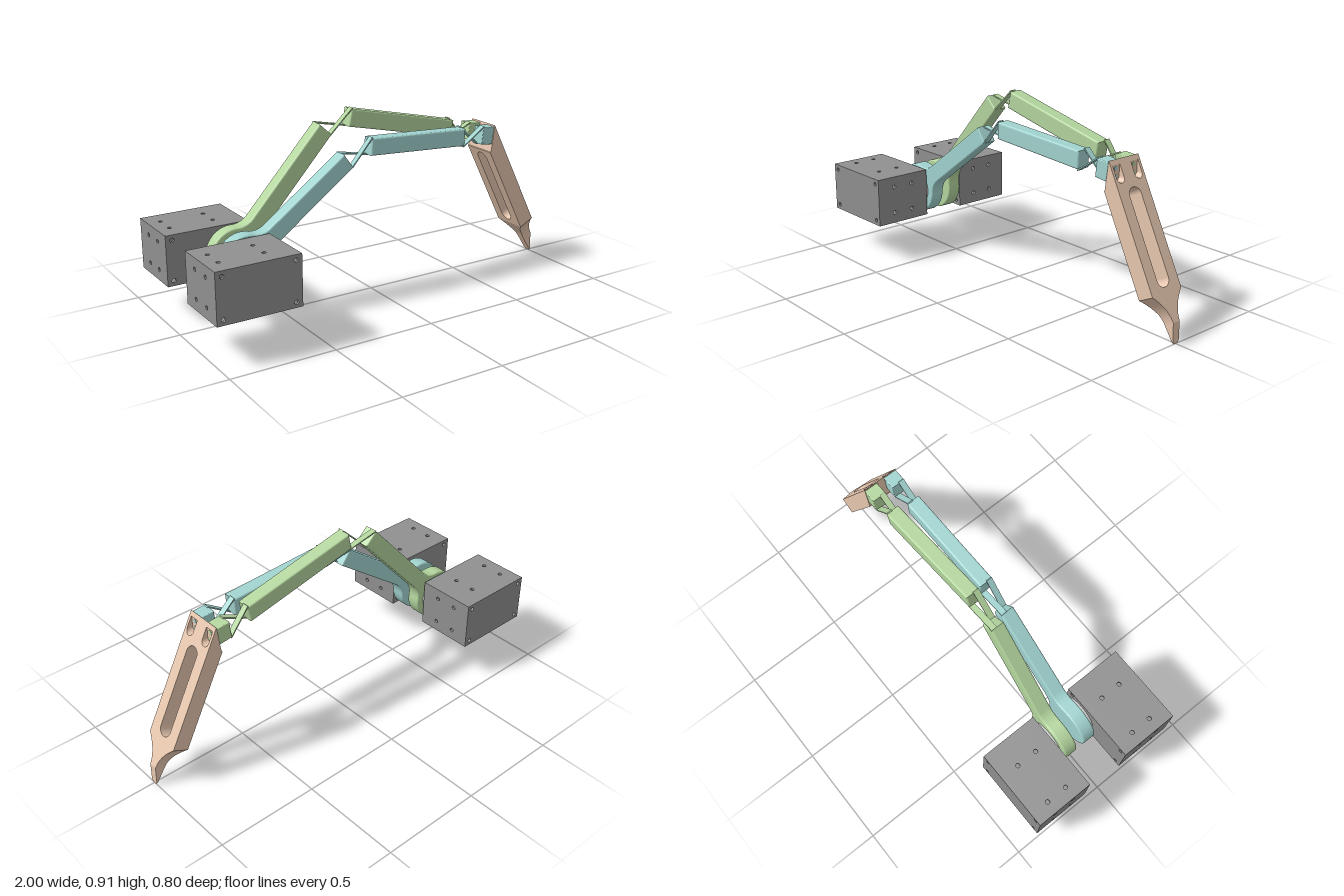
import * as THREE from 'three';

const paint = (color, extra = {}) => new THREE.MeshStandardMaterial({ color, ...extra });
const GREEN = paint(0xb4d69f);
const TEAL = paint(0xa2d4d0);
const ORANGE = paint(0xe8c8b0, { flatShading: true });
const DARK = paint(0x909090);
const GREY = paint(0xcccccc);
const HUB = [-0.7, 0.308];

function add(parent, name, geometry, material, x = 0, y = 0, z = 0) {
  const mesh = new THREE.Mesh(geometry, material);
  mesh.name = name;
  mesh.position.set(x, y, z);
  parent.add(mesh);
  return mesh;
}

const polygon = (points) => new THREE.Shape(points.map(([x, y]) => new THREE.Vector2(x, y)));

// Solid of constant width, centred on z, with rounded long edges
function slab(shape, width, bevel = 0.008) {
  return new THREE.ExtrudeGeometry(shape, {
    depth: width - 2 * bevel, bevelSize: bevel, bevelThickness: bevel,
    bevelOffset: -bevel, bevelSegments: 3, curveSegments: 24,
  }).translate(0, 0, bevel - width / 2);
}

// Round hub blending into a straight bar along +x
function upperLinkShape(length) {
  const R = 0.125, w = 0.0425, r = 0.1;
  const cx = Math.sqrt((R + r) ** 2 - (w + r) ** 2);
  const a = Math.atan2(w + r, cx);
  const s = new THREE.Shape();
  s.moveTo(length, -w);
  s.lineTo(length, w);
  s.lineTo(cx, w);
  s.absarc(cx, w + r, r, -Math.PI / 2, -Math.PI + a, true);
  s.absarc(0, 0, R, a, 2 * Math.PI - a, false);
  s.absarc(cx, -w - r, r, Math.PI - a, Math.PI / 2, true);
  s.closePath();
  return s;
}

// Thin flexure strip from p to q
function strip(parent, p, q, z, material) {
  const dx = q[0] - p[0], dy = q[1] - p[1];
  const m = add(parent, 'flexureStrip', new THREE.BoxGeometry(Math.hypot(dx, dy) + 0.012, 0.006, 0.03),
    material, (p[0] + q[0]) / 2, (p[1] + q[1]) / 2, z);
  m.rotation.z = Math.atan2(dy, dx);
}

// One arm: upper link, middle link, wrist block and crossed flexures
function arm(name, material, z, length, angle, upperEnd, middle) {
  const g = new THREE.Group();
  g.name = name;
  const upper = add(g, 'upperLink', slab(upperLinkShape(length), 0.07), material, ...HUB, z);
  upper.rotation.z = angle;
  add(g, 'middleLink', slab(polygon(middle), 0.07), material, 0, 0, z);
  const wrist = [[0.59, 0.658], [0.655, 0.65], [0.668, 0.737], [0.6, 0.742]];
  add(g, 'wristBlock', slab(polygon(wrist), 0.07, 0.004), material, 0, 0, z);
  const [ml, mr, mtr, mtl] = middle;
  strip(g, upperEnd[0], mtl, z + 0.018, material);
  strip(g, upperEnd[1], ml, z - 0.018, material);
  strip(g, mr, wrist[3], z + 0.018, material);
  strip(g, mtr, wrist[0], z - 0.018, material);
  return g;
}

// Motor housing: six plates with screw holes, and a drive shaft
function motor(side) {
  const g = new THREE.Group();
  g.name = side > 0 ? 'leftMotor' : 'rightMotor';
  const W = 0.4, H = 0.24, D = 0.293, t = 0.012;
  const plate = (w, h, xs, ys) => {
    const s = polygon([[-w / 2, -h / 2], [w / 2, -h / 2], [w / 2, h / 2], [-w / 2, h / 2]]);
    for (const x of xs) for (const y of ys) {
      s.holes.push(new THREE.Path().absarc(x, y, 0.01, 0, 2 * Math.PI, true));
    }
    return new THREE.ExtrudeGeometry(s, { depth: t, bevelEnabled: false, curveSegments: 10 });
  };
  const front = plate(W, H, [-0.17, 0.17], [-0.095, 0.095]);
  const top = plate(W, D, [-0.14, 0.07], [-0.0525, 0.0525]).rotateX(Math.PI / 2);
  const end = plate(D, H, [-0.0525, 0.0525], [-0.0675, 0.0675]).rotateY(Math.PI / 2);
  add(g, 'housingFront', front, DARK, 0, 0, D / 2 - t);
  add(g, 'housingBack', front, DARK, 0, 0, -D / 2);
  add(g, 'housingTop', top, DARK, 0, H / 2, 0);
  add(g, 'housingBottom', top, DARK, 0, -H / 2 + t, 0);
  add(g, 'housingRightEnd', end, DARK, W / 2 - t, 0, 0);
  add(g, 'housingLeftEnd', end, DARK, -W / 2, 0, 0);
  g.position.set(-0.8, 0.309, side * 0.2535);
  const shaft = new THREE.CylinderGeometry(0.088, 0.088, 0.03, 48).rotateX(Math.PI / 2);
  add(g, 'driveShaft', shaft, GREY, 0.1, 0, -side * 0.1565);
  return g;
}

// Finger head: mitred top with two recessed screw pockets
function fingerHead() {
  const yTop = 0.745, yLow = 0.646;
  const s = polygon([[-0.09, yLow], [0.09, yLow], [0.09, yTop], [-0.09, yTop]]);
  for (const z of [-0.055, 0.055]) {
    const p = new THREE.Path();
    p.moveTo(z - 0.022, 0.724);
    p.lineTo(z - 0.022, 0.674);
    p.absarc(z, 0.674, 0.022, Math.PI, 2 * Math.PI, false);
    p.lineTo(z + 0.022, 0.724);
    p.closePath();
    s.holes.push(p);
  }
  const geo = new THREE.ExtrudeGeometry(s, { depth: 1, bevelEnabled: false }).rotateY(Math.PI / 2);
  const pos = geo.attributes.position;
  for (let i = 0; i < pos.count; i++) {
    let y = pos.getY(i);
    if (pos.getX(i) > 0.5) {
      pos.setX(i, 0.67 + (yTop - y) * 0.509);
    } else {
      if (y < yLow + 0.001) y = 0.608;
      pos.setXY(i, 0.65 + (y - 0.608) * 0.146, y);
    }
  }
  geo.computeVertexNormals();
  return geo;
}

// Finger shaft: flat bar with a long round-ended slot
function fingerBar() {
  const s = polygon([[0.111, -0.09], [0.596, -0.09], [0.596, 0.09], [0.111, 0.09]]);
  const slot = new THREE.Path();
  slot.absarc(0.537, 0, 0.035, -Math.PI / 2, Math.PI / 2, false);
  slot.absarc(0.167, 0, 0.035, Math.PI / 2, Math.PI * 1.5, false);
  slot.closePath();
  s.holes.push(slot);
  return new THREE.ExtrudeGeometry(s, { depth: 0.083, bevelEnabled: false, curveSegments: 20 })
    .rotateX(Math.PI / 2);
}

// Fingertip: rectangular sections narrowing along a concave curve to an edge
function fingerTip() {
  const curve = new THREE.QuadraticBezierCurve(
    new THREE.Vector2(0.596, 0.09), new THREE.Vector2(0.66, 0.022), new THREE.Vector2(0.725, 0.02));
  const rows = curve.getPoints(14).map((p) => [p.x, p.y]);
  rows.push([0.8, 0.019], [0.814, 0.014]);
  const verts = [], index = [];
  rows.forEach(([u, w], i) => {
    const hi = u > 0.725 ? -0.044 * (u - 0.725) / 0.089 : 0;
    const lo = u < 0.684 ? -0.083 + 0.026 * (u - 0.596) / 0.088 : -0.057 + 0.013 * (u - 0.684) / 0.13;
    verts.push(u, hi, w, u, hi, -w, u, lo, -w, u, lo, w);
    if (i === 0) return;
    for (let k = 0; k < 4; k++) {
      const a = (i - 1) * 4 + k, b = (i - 1) * 4 + (k + 1) % 4;
      index.push(a, a + 4, b, b, a + 4, b + 4);
    }
  });
  const geo = new THREE.BufferGeometry();
  geo.setAttribute('position', new THREE.Float32BufferAttribute(verts, 3));
  geo.setIndex(index);
  geo.computeVertexNormals();
  return geo;
}

export function createModel() {
  const model = new THREE.Group();
  model.name = 'twoMotorFlexureFinger';

  model.add(motor(1), motor(-1));

  // Each middle link runs lower left, lower right, upper right, upper left
  model.add(arm('leftArm', TEAL, 0.055, 0.649, 0.629,
    [[-0.152, 0.66], [-0.196, 0.72]],
    [[-0.055, 0.695], [0.485, 0.665], [0.49, 0.75], [-0.05, 0.777]]));
  model.add(arm('rightArm', GREEN, -0.055, 0.696, 0.83,
    [[-0.2, 0.797], [-0.256, 0.848]],
    [[-0.108, 0.818], [0.482, 0.688], [0.5, 0.77], [-0.09, 0.9]]));

  const finger = new THREE.Group();
  finger.name = 'finger';
  model.add(finger);
  add(finger, 'fingerHead', fingerHead(), ORANGE);
  const blade = new THREE.Group();
  blade.name = 'fingerBlade';
  blade.position.set(0.67, 0.745, 0);
  blade.rotation.z = Math.atan2(-0.53, 0.27);
  finger.add(blade);
  add(blade, 'fingerBar', fingerBar(), ORANGE);
  add(blade, 'fingerTip', fingerTip(), ORANGE);

  // Pocket floors and the pins that hold the wrist blocks
  for (const [z, material] of [[0.055, TEAL], [-0.055, GREEN]]) {
    add(finger, 'pocketFloor', new THREE.BoxGeometry(0.016, 0.074, 0.046), ORANGE, 0.67, 0.688, z);
    for (const y of [0.67, 0.708]) {
      const pin = new THREE.CylinderGeometry(0.01, 0.01, 0.02, 20).rotateZ(Math.PI / 2);
      add(finger, 'wristPin', pin, material, 0.67, y, z);
    }
  }
  return model;
}
